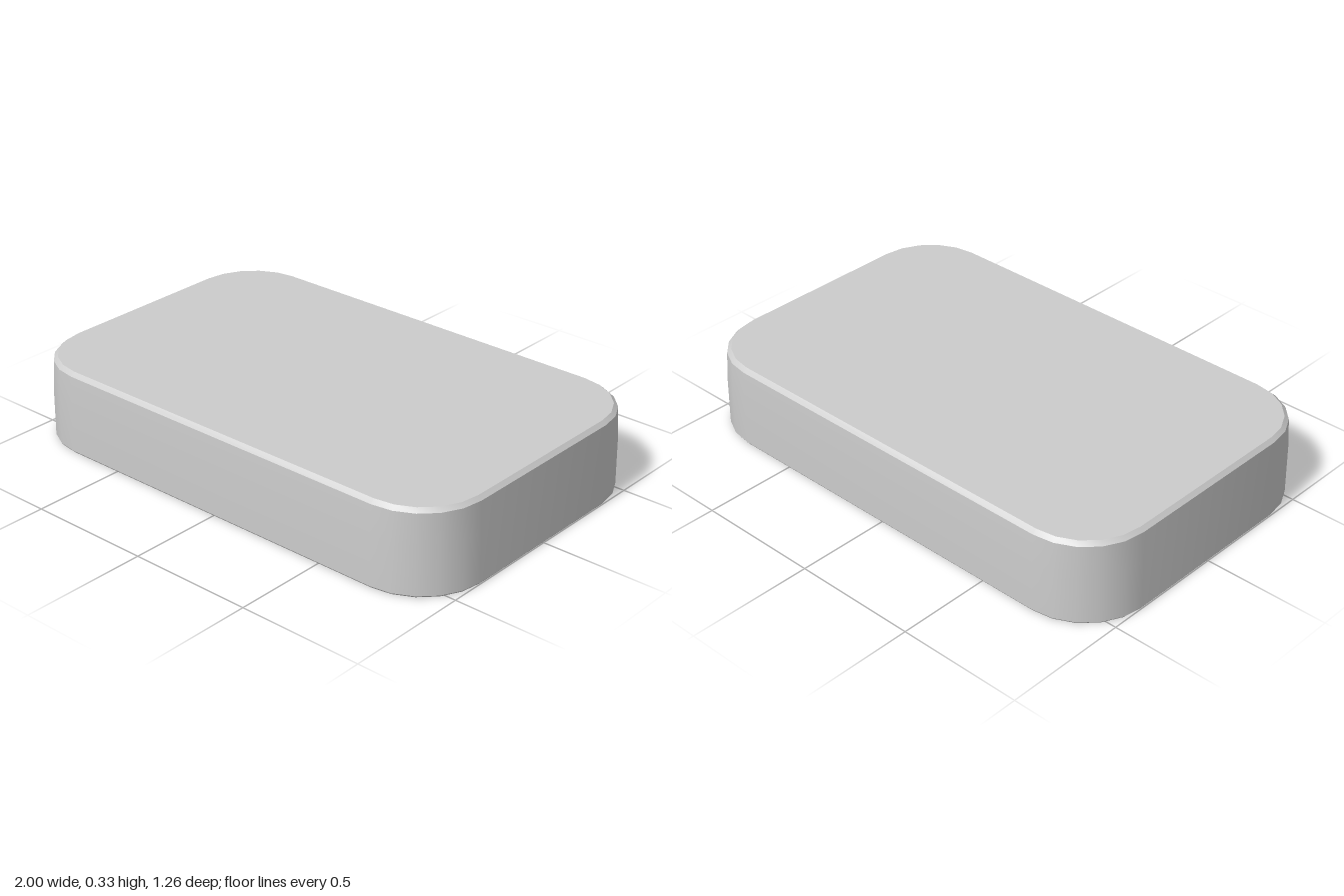
import * as THREE from 'three';
import { toCreasedNormals } from 'three/addons/utils/BufferGeometryUtils.js';

const CORNER_STEPS = 5;

// One rounded-rectangle ring; a half width of 0 collapses it to a centre point.
function ring([hx, hz, r, y]) {
  const points = [];
  const signs = [[1, 1], [-1, 1], [-1, -1], [1, -1]];
  signs.forEach(([sx, sz], q) => {
    for (let i = 0; i <= CORNER_STEPS; i++) {
      const a = (q + i / CORNER_STEPS) * Math.PI / 2;
      points.push([sx * (hx - r) + r * Math.cos(a), y, sz * (hz - r) + r * Math.sin(a)]);
    }
  });
  return points;
}

// Joins successive rings [halfX, halfZ, cornerRadius, y] into one surface.
function loft(name, sections, material) {
  const rings = sections.map(ring);
  const n = rings[0].length;
  const index = [];
  for (let i = 0; i < rings.length - 1; i++) {
    for (let j = 0; j < n; j++) {
      const k = (j + 1) % n;
      const a = i * n + j, b = i * n + k, c = a + n, d = b + n;
      if (sections[i][0] > 0) index.push(a, b, c);
      if (sections[i + 1][0] > 0) index.push(b, d, c);
    }
  }
  const geometry = new THREE.BufferGeometry();
  geometry.setAttribute('position', new THREE.Float32BufferAttribute(rings.flat(2), 3));
  geometry.setIndex(index);
  const mesh = new THREE.Mesh(toCreasedNormals(geometry, 0.5), material);
  mesh.name = name;
  return mesh;
}

export function createModel() {
  const group = new THREE.Group();
  group.name = 'hollowLid';
  const grey = new THREE.MeshStandardMaterial({ color: 0xcccccc });

  // Flat top plate
  group.add(loft('topPlate', [
    [0, 0, 0, 0.333],
    [0.975, 0.605, 0.245, 0.333],
  ], grey));

  // Softened upper edge and upright outer wall
  group.add(loft('outerWall', [
    [0.975, 0.605, 0.245, 0.333],
    [0.99, 0.622, 0.26, 0.318],
    [0.997, 0.628, 0.265, 0.2],
    [1, 0.628, 0.265, 0.006],
  ], grey));

  // Flat rim around the open underside
  group.add(loft('rim', [
    [1, 0.628, 0.265, 0.006],
    [0.996, 0.624, 0.262, 0],
    [0.92, 0.548, 0.21, 0],
  ], grey));

  // Slightly tapering recess closed by its ceiling
  group.add(loft('recess', [
    [0.92, 0.548, 0.21, 0],
    [0.91, 0.538, 0.22, 0.23],
    [0, 0, 0, 0.23],
  ], grey));

  return group;
}
